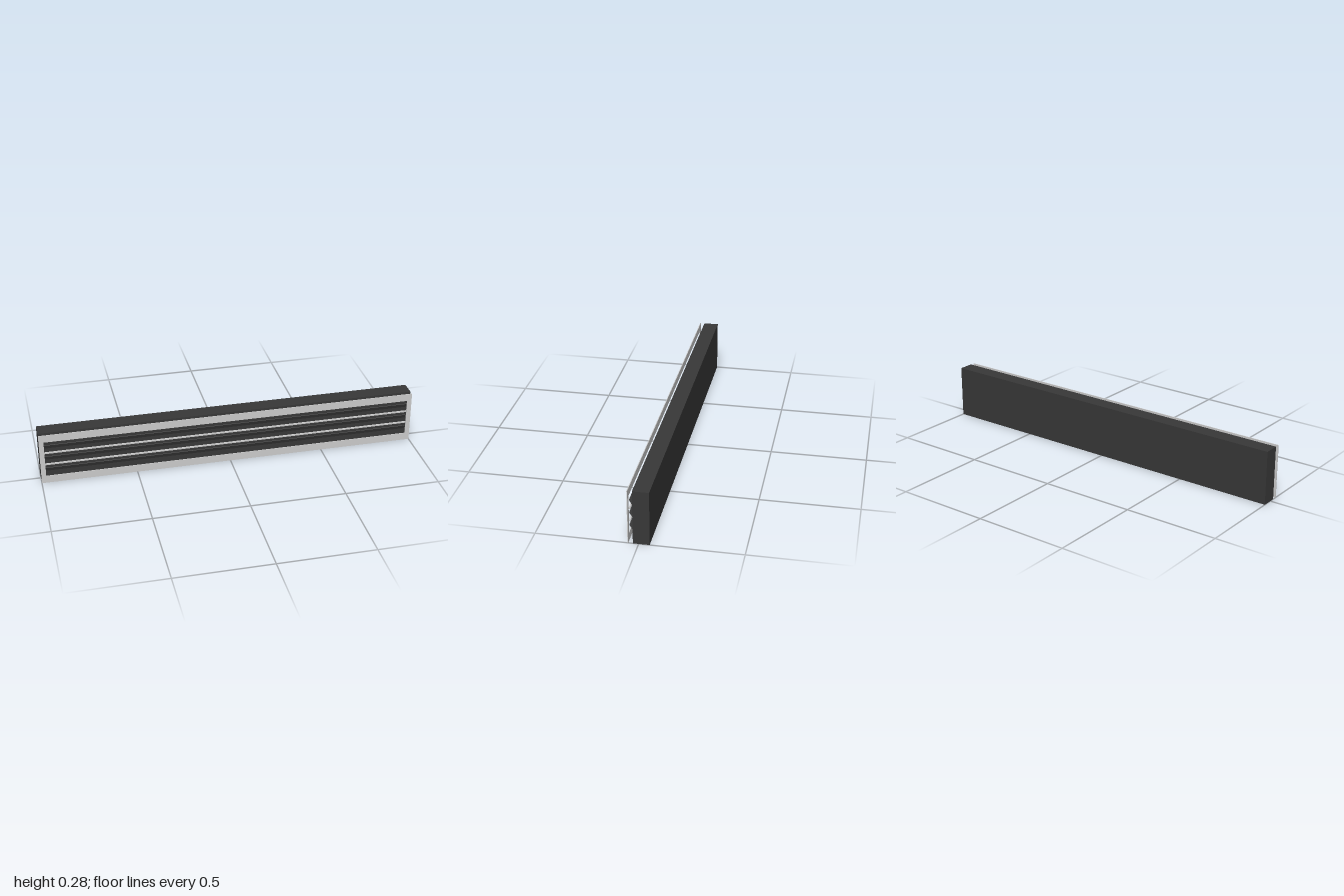
import * as THREE from 'three';

export function createModel() {
  const model = new THREE.Group();
  model.name = 'linearSlotDiffuser';

  const material = (name, color) => {
    const m = new THREE.MeshStandardMaterial({ color });
    m.name = name;
    return m;
  };
  const aluminium = material('light aluminium', 0xcccccc);
  const darkMetal = material('dark metal', 0x383838);
  const bladeMetal = material('blade grey', 0x444444);

  const add = (name, geometry, mat, x, y, z) => {
    const mesh = new THREE.Mesh(geometry, mat);
    mesh.name = name;
    mesh.position.set(x, y, z);
    model.add(mesh);
    return mesh;
  };

  const height = 0.28, midY = height / 2;
  const openW = 1.95, openH = 0.2;
  const slots = 3, pitch = openH / slots;

  // Plenum box behind the grille
  add('plenumBox', new THREE.BoxGeometry(2, height, 0.08), darkMetal, 0, midY, -0.0125);

  // Thin face frame with one rectangular opening
  const rectangle = (Type, w, h) => new Type([
    new THREE.Vector2(-w / 2, -h / 2), new THREE.Vector2(w / 2, -h / 2),
    new THREE.Vector2(w / 2, h / 2), new THREE.Vector2(-w / 2, h / 2),
  ]);
  const face = rectangle(THREE.Shape, 2, height);
  face.holes.push(rectangle(THREE.Path, openW, openH));
  const frame = new THREE.ExtrudeGeometry(face, { depth: 0.004, bevelEnabled: false });
  add('faceFrame', frame, aluminium, 0, midY, 0.0495);

  // Bars dividing the slots
  const bar = new THREE.BoxGeometry(openW, 0.007, 0.008);
  for (let i = 1; i < slots; i++) {
    add('dividerBar' + i, bar, aluminium, 0, midY - openH / 2 + i * pitch, 0.0465);
  }

  // Tilted deflector blade in each slot, upper edge forward
  const blade = new THREE.BoxGeometry(openW, 0.028, 0.003);
  for (let i = 0; i < slots; i++) {
    const y = midY + (i - (slots - 1) / 2) * pitch;
    add('deflectorBlade' + (i + 1), blade, bladeMetal, 0, y, 0.04).rotation.x = Math.PI / 6;
  }

  return model;
}
